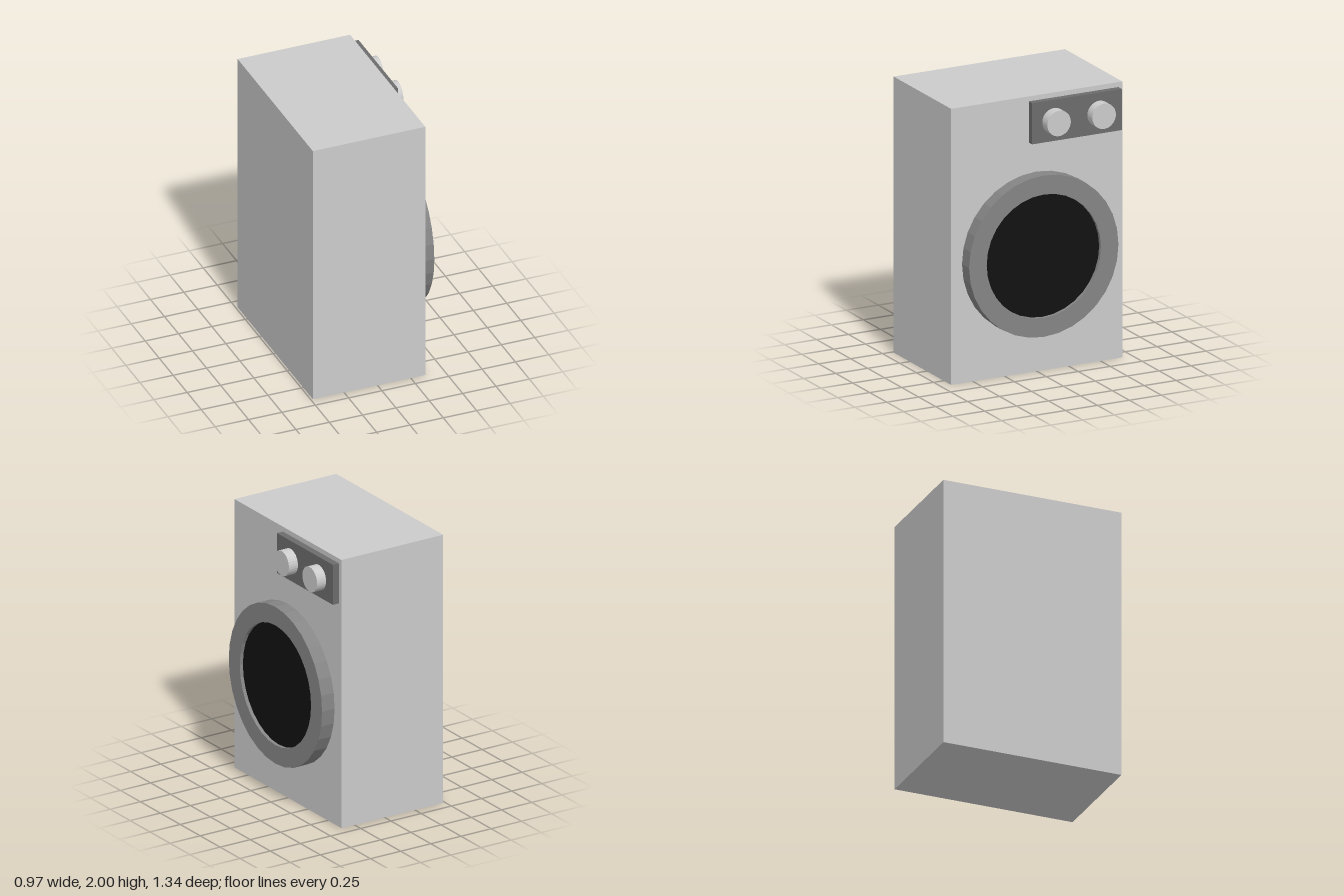
import * as THREE from 'three';

const FRONT = 0.358; // x of the cabinet face that carries the door and controls

function material(color = 0xcccccc) {
  return new THREE.MeshStandardMaterial({ color, flatShading: true });
}

function add(parent, name, geometry, mat, x, y, z) {
  const mesh = new THREE.Mesh(geometry, mat);
  mesh.name = name;
  mesh.position.set(x, y, z);
  parent.add(mesh);
  return mesh;
}

// Disc whose axis runs along +x, starting at x = 0
function disc(radius, depth) {
  return new THREE.CylinderGeometry(radius, radius, depth, 32)
    .translate(0, depth / 2, 0)
    .rotateZ(-Math.PI / 2);
}

export function createModel() {
  const model = new THREE.Group();
  model.name = 'washingMachine';
  const grey = material();

  // Cabinet
  add(model, 'cabinet', new THREE.BoxGeometry(0.843, 2, 1.342), grey, FRONT - 0.4215, 1, 0);

  // Round door: a rectangular-section ring around slightly recessed dark glass
  const door = new THREE.Group();
  door.name = 'door';
  door.position.set(FRONT, 0.862, 0);
  model.add(door);
  const section = [[0.447, 0], [0.585, 0], [0.585, 0.104], [0.447, 0.104], [0.447, 0]]
    .map(([r, h]) => new THREE.Vector2(r, h));
  const ring = new THREE.LatheGeometry(section, 32).rotateZ(-Math.PI / 2);
  add(door, 'doorRing', ring, material(0x858585), 0, 0, 0);
  add(door, 'doorGlass', disc(0.447, 0.078), material(0x111111), 0, 0, 0);

  // Control panel with two knobs
  add(model, 'controlPanel', new THREE.BoxGeometry(0.05, 0.298, 0.702), material(0x6c6c6c),
    FRONT + 0.025, 1.815, -0.289);
  for (const z of [-0.109, -0.462]) {
    add(model, 'knob', disc(0.092, 0.075), grey, FRONT + 0.05, 1.813, z);
  }

  return model;
}
